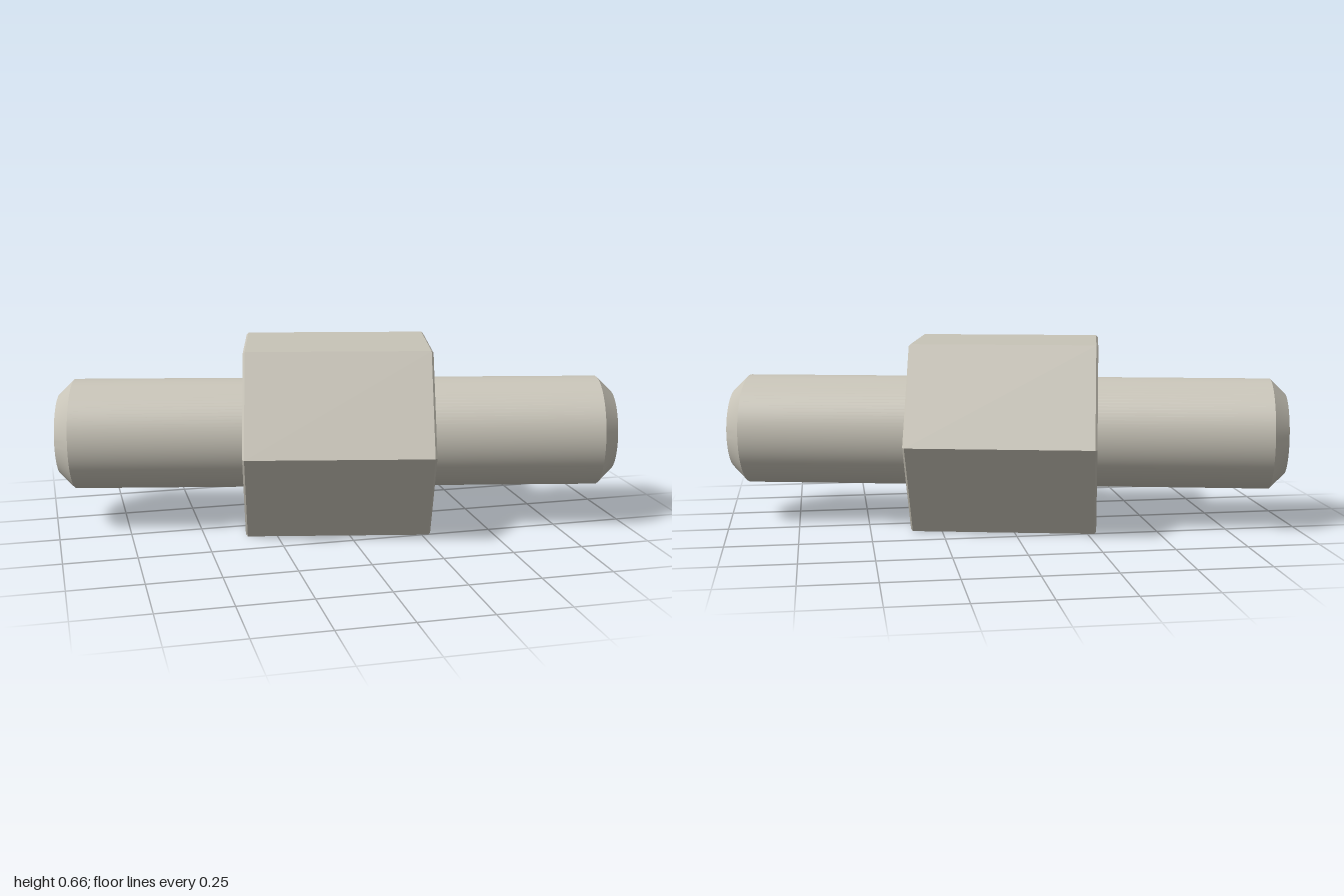
import * as THREE from 'three';
import { toCreasedNormals } from 'three/addons/utils/BufferGeometryUtils.js';

// Chamfered bar along x: half length, radius, end radius, chamfer length, side count
function chamferedBar(half, radius, endRadius, chamfer, sides) {
  const profile = [
    [0, -half], [endRadius, -half], [radius, -half + chamfer],
    [radius, half - chamfer], [endRadius, half], [0, half],
  ].map(([r, y]) => new THREE.Vector2(r, y));
  const geometry = new THREE.LatheGeometry(profile, sides);
  geometry.rotateZ(-Math.PI / 2);
  return toCreasedNormals(geometry, 0.5);
}

export function createModel() {
  const steel = new THREE.MeshStandardMaterial({ color: 0xc8c4b8 });
  steel.name = 'warm grey steel';

  const model = new THREE.Group();
  model.name = 'hexStandoff';

  const parts = new THREE.Group();
  parts.name = 'standoffBody';
  model.add(parts);

  const add = (name, geometry) => {
    const mesh = new THREE.Mesh(geometry, steel);
    mesh.name = name;
    parts.add(mesh);
  };

  // Hexagonal grip, flats on top and bottom, finely bevelled ends
  add('hexGrip', chamferedBar(0.327, 0.3828, 0.3747, 0.007, 6));
  // Round stud through the grip, chamfered at both ends
  add('throughStud', chamferedBar(0.992, 0.197, 0.145, 0.054, 96));

  // Resting on a flat, turned slightly about the vertical
  parts.position.y = 0.3315;
  parts.rotation.y = -THREE.MathUtils.degToRad(12);
  return model;
}
